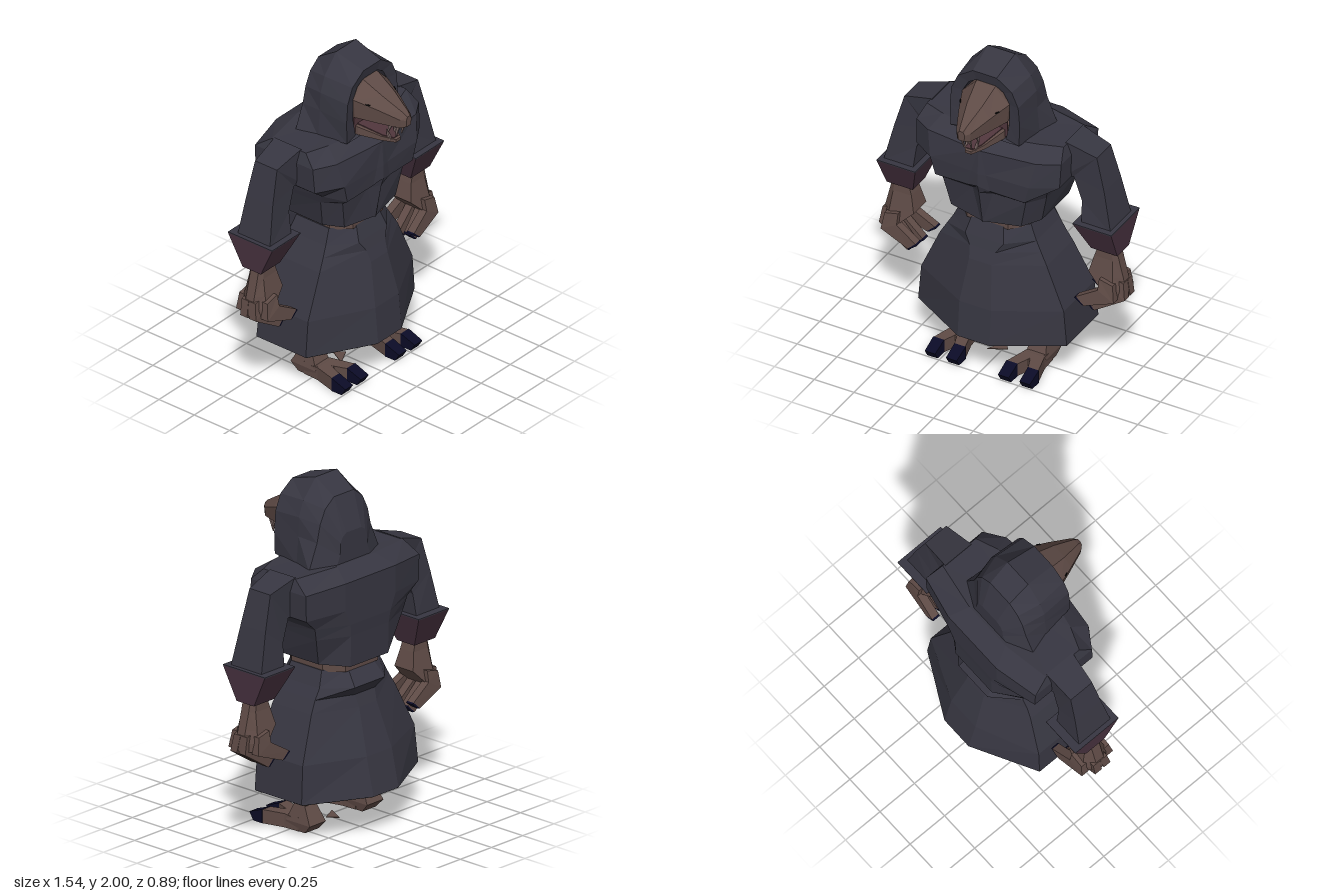
import * as THREE from 'three';

const mat = (name, color) => Object.assign(new THREE.MeshStandardMaterial({ color }), { name });

// Closed faceted solid through equal-length rings of [x, y, z] points
function loft(name, material, rings) {
  const pos = [], n = rings[0].length;
  const tri = (...t) => t.forEach(p => pos.push(...p));
  const mid = r => [0, 1, 2].map(k => r.reduce((s, p) => s + p[k], 0) / n);
  for (let i = 0; i < rings.length - 1; i++) {
    for (let j = 0; j < n; j++) {
      const k = (j + 1) % n, a = rings[i], b = rings[i + 1];
      tri(a[j], a[k], b[k]);
      tri(a[j], b[k], b[j]);
    }
  }
  const first = rings[0], last = rings[rings.length - 1];
  for (let j = 0; j < n; j++) {
    const k = (j + 1) % n;
    tri(mid(first), first[k], first[j]);
    tri(mid(last), last[j], last[k]);
  }
  // Turn the faces outward when the enclosed volume comes out negative
  const a = new THREE.Vector3(), b = new THREE.Vector3(), c = new THREE.Vector3();
  let volume = 0;
  for (let i = 0; i < pos.length; i += 9) {
    volume += a.fromArray(pos, i).dot(b.fromArray(pos, i + 3).cross(c.fromArray(pos, i + 6)));
  }
  if (volume < 0) {
    for (let i = 0; i < pos.length; i += 9) {
      for (let k = 0; k < 3; k++) [pos[i + 3 + k], pos[i + 6 + k]] = [pos[i + 6 + k], pos[i + 3 + k]];
    }
  }
  const g = new THREE.BufferGeometry();
  g.setAttribute('position', new THREE.Float32BufferAttribute(pos, 3));
  g.computeVertexNormals();
  const mesh = new THREE.Mesh(g, material);
  mesh.name = name;
  return mesh;
}

// Ring helpers: mirrored half outline, level rectangle, upright rectangle
const mirror = half => [...half, ...half.filter(p => p[0] !== 0).reverse().map(([x, y, z]) => [-x, y, z])];
const flat = (y, x0, x1, z0, z1) => [[x0, y, z0], [x1, y, z0], [x1, y, z1], [x0, y, z1]];
const upright = (z, x0, x1, y0, y1) => [[x0, y0, z], [x1, y0, z], [x1, y1, z], [x0, y1, z]];
const octagon = (y, w, zf, sf, sb, zb, fx = 0.1) =>
  mirror([[fx, y, zf], [w, y, sf], [w, y, sb], [fx, y, zb]]);

export function createModel() {
  const robe = mat('robe', 0x373641), cuffCloth = mat('cuff cloth', 0x483240);
  const skin = mat('skin', 0x5f4b46), claw = mat('claw', 0x0b0b26);
  const mouth = mat('mouth', 0x4f353b), tooth = mat('tooth', 0x7a6664), black = mat('black', 0x050505);
  const model = new THREE.Group();
  const add = (...args) => model.add(loft(...args));

  // Skirt with a fold at the back, its dark underside, and the waist
  add('skirt', robe, [
    octagon(0.25, 0.467, 0.31, 0.10, -0.25, -0.445),
    octagon(0.47, 0.448, 0.29, 0.10, -0.24, -0.395),
    octagon(0.73, 0.335, 0.235, 0.09, -0.20, -0.31, 0.07),
    octagon(0.80, 0.295, 0.21, 0.08, -0.19, -0.285, 0.08),
    octagon(0.86, 0.26, 0.19, 0.07, -0.19, -0.325, 0.12),
    octagon(0.95, 0.22, 0.155, 0.06, -0.17, -0.255),
  ]);
  add('skirtUnderside', black, [
    octagon(0.246, 0.46, 0.306, 0.10, -0.25, -0.44),
    octagon(0.251, 0.46, 0.306, 0.10, -0.25, -0.44),
  ]);
  add('waist', skin, [
    octagon(0.94, 0.215, 0.155, 0.06, -0.17, -0.265, 0.13),
    octagon(1.02, 0.215, 0.155, 0.06, -0.17, -0.265, 0.13),
  ]);
  // Small flat scrap on the ground between the feet
  add('groundScrap', skin, [0, 0.004].map(y => [[-0.075, y, 0.028], [0.029, y, -0.023], [-0.018, y, -0.082]]));

  // Torso: half sections from the chest ridge round to the back
  add('torso', robe, [
    [[0, 0.98, 0.21], [0.012, 0.985, 0.206], [0.22, 1.0, 0.17], [0.30, 1.02, 0.08], [0.30, 1.02, -0.22], [0.15, 0.99, -0.32]],
    [[0, 1.20, 0.25], [0.065, 1.19, 0.205], [0.26, 1.18, 0.19], [0.34, 1.19, 0.10], [0.35, 1.18, -0.25], [0.15, 1.17, -0.325]],
    [[0, 1.25, 0.265], [0.07, 1.23, 0.25], [0.28, 1.22, 0.24], [0.36, 1.25, 0.13], [0.37, 1.25, -0.26], [0.16, 1.24, -0.33]],
    [[0, 1.33, 0.265], [0.045, 1.33, 0.255], [0.31, 1.33, 0.245], [0.45, 1.32, 0.15], [0.45, 1.32, -0.27], [0.2, 1.33, -0.33]],
    [[0, 1.48, 0.255], [0.012, 1.48, 0.254], [0.34, 1.48, 0.215], [0.455, 1.47, 0.14], [0.455, 1.47, -0.27], [0.2, 1.49, -0.33]],
    [[0, 1.53, 0.16], [0.10, 1.54, 0.16], [0.30, 1.545, 0.12], [0.43, 1.54, 0.07], [0.43, 1.54, -0.17], [0.15, 1.55, -0.22]],
  ].map(mirror));

  // Hood: arches from back to rim, then folded inward around the face
  const arch = (z, ...half) => mirror(half.map(([x, y]) => [x, y, z]));
  add('hood', robe, [
    arch(-0.205, [0.14, 1.53], [0.11, 1.60], [0.105, 1.67], [0.09, 1.70], [0.06, 1.72]),
    arch(-0.13, [0.28, 1.53], [0.215, 1.68], [0.19, 1.78], [0.15, 1.86], [0.08, 1.915]),
    arch(0, [0.24, 1.53], [0.225, 1.69], [0.22, 1.80], [0.185, 1.89], [0.085, 2.0]),
    arch(0.185, [0.215, 1.54], [0.22, 1.67], [0.21, 1.79], [0.17, 1.88], [0.075, 1.945]),
    arch(0.17, [0.125, 1.55], [0.145, 1.65], [0.147, 1.785], [0.11, 1.85], [0.06, 1.88]),
    arch(0.05, [0.12, 1.56], [0.135, 1.65], [0.14, 1.78], [0.11, 1.84], [0.05, 1.87]),
  ]);

  // Head with tapering snout, open jaw and mouth lining
  const face = (z, x0, y0, x1, y1, x2, y2) => mirror([[x0, y0, z], [x1, y1, z], [x2, y2, z]]);
  add('snout', skin, [
    face(0.04, 0.06, 1.875, 0.145, 1.78, 0.13, 1.66),
    face(0.175, 0.06, 1.875, 0.147, 1.785, 0.135, 1.668),
    face(0.30, 0.045, 1.81, 0.098, 1.75, 0.088, 1.658),
    face(0.42, 0.018, 1.74, 0.045, 1.705, 0.04, 1.652),
    face(0.445, 0.012, 1.72, 0.022, 1.70, 0.018, 1.66),
  ]);
  add('lowerJaw', skin, [
    upright(0.06, -0.12, 0.12, 1.555, 1.63),
    upright(0.18, -0.115, 0.115, 1.55, 1.60),
    upright(0.30, -0.06, 0.06, 1.535, 1.562),
    upright(0.37, -0.02, 0.02, 1.53, 1.548),
  ]);
  add('mouthBack', mouth, [upright(0.155, -0.13, 0.13, 1.56, 1.67), upright(0.163, -0.13, 0.13, 1.56, 1.67)]);
  add('tongue', mouth, [
    upright(0.16, -0.10, 0.10, 1.60, 1.612),
    upright(0.30, -0.05, 0.05, 1.56, 1.567),
    upright(0.355, -0.02, 0.02, 1.548, 1.556),
  ]);
  add('palate', mouth, [upright(0.16, -0.12, 0.12, 1.66, 1.666), upright(0.40, -0.035, 0.035, 1.648, 1.655)]);

  for (const s of [1, -1]) {
    const side = s > 0 ? 'left' : 'right';
    const put = (name, material, rings) =>
      add(side + name, material, rings.map(r => r.map(([x, y, z]) => [s * x, y, z])));

    // Eyes and fangs
    put('Eye', black, [
      [[0.112, 1.768, 0.24], [0.126, 1.768, 0.24], [0.123, 1.775, 0.24]],
      [[0.10, 1.767, 0.26], [0.116, 1.765, 0.26], [0.113, 1.771, 0.26]],
    ]);
    for (const [x, z, top, tip] of [[0.025, 0.395, 1.66, 1.57], [0.05, 0.36, 1.66, 1.60], [0.03, 0.335, 1.545, 1.60]]) {
      put('Fang', tooth, [
        flat(top, x - 0.008, x + 0.008, z - 0.012, z + 0.012),
        flat(tip, x - 0.002, x + 0.002, z - 0.025, z - 0.02),
      ]);
    }

    // Sleeve: quads across the arm from shoulder to wrist
    const quad = (xo, yo, xi, yi, zf, zb) => [[xo, yo, zf], [xo, yo, zb], [xi, yi, zb], [xi, yi, zf]];
    put('Sleeve', robe, [
      quad(0.42, 1.545, 0.40, 1.31, 0.03, -0.16),
      quad(0.605, 1.49, 0.46, 1.32, 0.01, -0.145),
      quad(0.66, 1.29, 0.52, 1.19, 0.025, -0.16),
      quad(0.715, 1.05, 0.53, 1.05, 0.05, -0.18),
    ]);
    put('Cuff', cuffCloth, [flat(1.06, 0.495, 0.738, -0.228, 0.085), flat(0.87, 0.56, 0.725, -0.135, -0.005)]);
    put('CuffTop', robe, [flat(1.058, 0.495, 0.738, -0.228, 0.085), flat(1.064, 0.495, 0.738, -0.228, 0.085)]);

    // Hand: palm ridged along its outer side, four splayed curled fingers
    const palm = (y, xi, xm, xo, zf, zb) =>
      [[xi, y, zf], [xm, y, zf], [xo, y, -0.035], [xo, y, -0.09], [xm, y, zb], [xi, y, zb]];
    put('Palm', skin, [
      palm(0.885, 0.595, 0.68, 0.705, -0.02, -0.11),
      palm(0.82, 0.575, 0.69, 0.72, -0.015, -0.115),
      palm(0.72, 0.55, 0.70, 0.745, 0.005, -0.135),
      palm(0.65, 0.62, 0.71, 0.762, 0.02, -0.15),
      palm(0.60, 0.67, 0.71, 0.765, 0.02, -0.15),
    ]);
    // Each finger: knuckle z, tip z, knuckle x, then the outer and inner corner of the tip
    for (const [z, zt, x, xo, yo, xi, yi] of [
      [0.01, 0.042, 0.732, 0.555, 0.525, 0.505, 0.57],
      [-0.04, -0.012, 0.772, 0.59, 0.475, 0.545, 0.525],
      [-0.09, -0.088, 0.772, 0.585, 0.47, 0.535, 0.52],
      [-0.14, -0.162, 0.732, 0.55, 0.52, 0.50, 0.565],
    ]) {
      const slice = (a, b, c, d, zc) => quad(a, b, c, d, zc + 0.024, zc - 0.024);
      const tip = slice(xo, yo, xi, yi, zt);
      put('Finger', skin, [
        slice(x - 0.015, 0.69, x - 0.10, 0.71, z),
        slice(x, 0.59, x - 0.10, 0.645, z * 0.5 + zt * 0.5),
        tip,
      ]);
      put('FingerClaw', claw, [tip, slice(xo - 0.015, yo + 0.002, xi - 0.01, yi - 0.008, zt)]);
    }

    // Leg, heel, instep and two clawed toes
    put('Leg', skin, [
      flat(0.32, 0.175, 0.28, -0.125, -0.01),
      flat(0.15, 0.185, 0.275, -0.095, -0.015),
      flat(0.05, 0.165, 0.295, -0.15, 0.03),
      flat(0, 0.175, 0.285, -0.105, 0.03),
    ]);
    put('Instep', skin, [upright(-0.06, 0.17, 0.29, 0, 0.08), upright(0.10, 0.185, 0.275, 0, 0.078)]);
    for (const [a, b] of [[0.13, 0.197], [0.265, 0.33]]) {
      const m = (a + b) / 2 * 0.35 + 0.23 * 0.65;
      put('Toe', skin, [
        upright(-0.06, m - 0.035, m + 0.035, 0, 0.065),
        upright(0.04, m - 0.04, m + 0.04, 0, 0.08),
        upright(0.175, a, b, 0, 0.08),
      ]);
      put('ToeClaw', claw, [
        upright(0.17, a - 0.002, b + 0.002, 0, 0.082),
        [[a, 0, 0.24], [b, 0, 0.24], [b, 0.045, 0.268], [a, 0.045, 0.268]],
      ]);
    }
  }
  return model;
}
